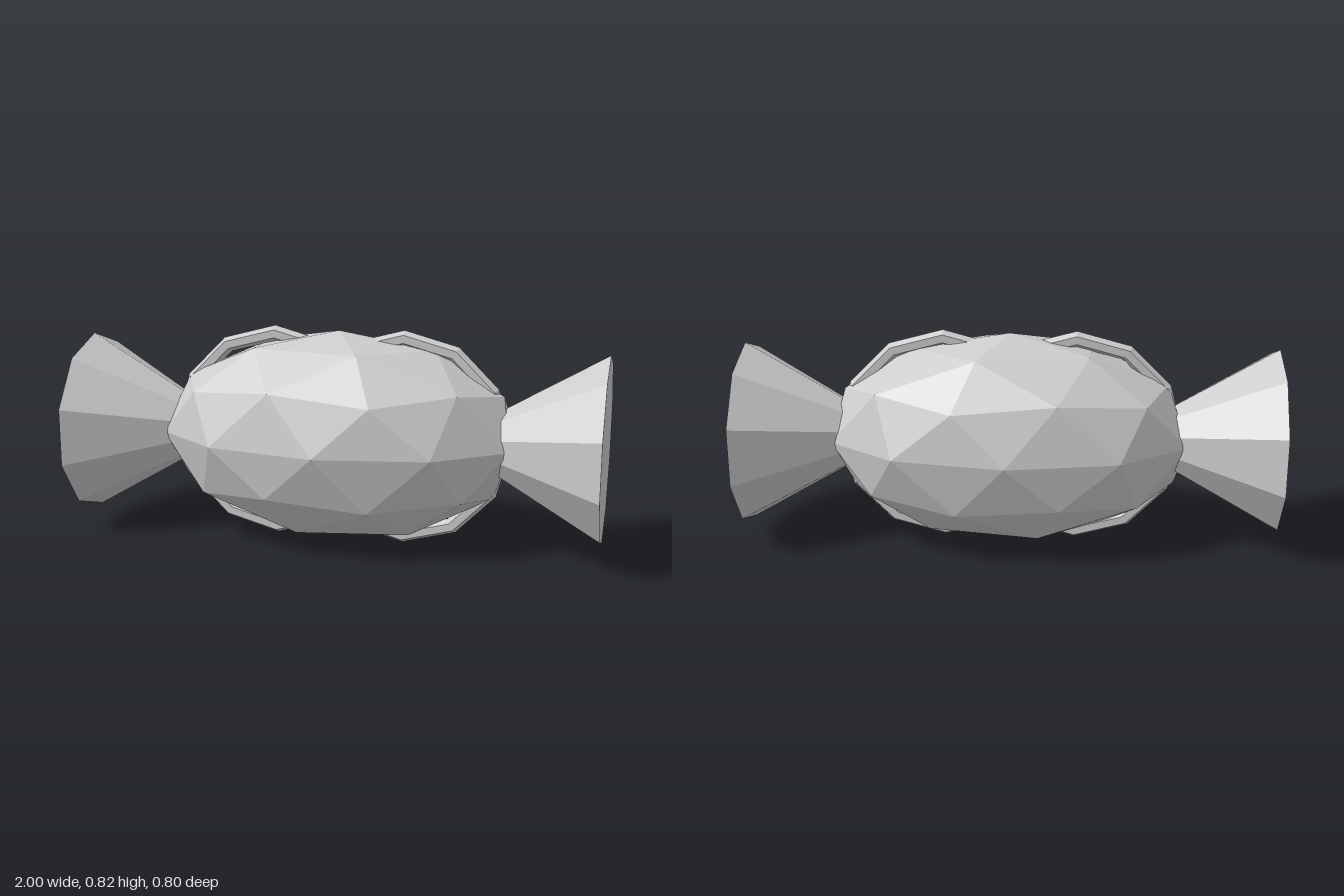
import * as THREE from 'three';

const CENTRE_Y = 0.41;

// Icosahedron with its poles on the y axis, split once into 80 facets
function facetedBall() {
  const verts = [0, 1, 0, 0, -1, 0];
  const faces = [];
  const ringY = 1 / Math.sqrt(5), ringR = 2 / Math.sqrt(5);
  for (const [start, y] of [[18, ringY], [54, -ringY]]) {
    for (let i = 0; i < 5; i++) {
      const a = THREE.MathUtils.degToRad(start + 72 * i);
      verts.push(ringR * Math.sin(a), y, ringR * Math.cos(a));
    }
  }
  for (let i = 0; i < 5; i++) {
    const j = (i + 1) % 5;
    const u0 = 2 + i, u1 = 2 + j, l0 = 7 + i, l1 = 7 + j;
    faces.push(0, u0, u1, u0, l0, u1, u1, l0, l1, 1, l1, l0);
  }
  return new THREE.PolyhedronGeometry(verts, faces, 1, 1);
}

export function createModel() {
  const model = new THREE.Group();
  model.name = 'wrappedCandy';

  const wrapper = new THREE.MeshStandardMaterial({ color: 0xcccccc, flatShading: true });
  wrapper.name = 'wrapperGrey';

  const add = (name, geometry, x) => {
    const mesh = new THREE.Mesh(geometry, wrapper);
    mesh.name = name;
    mesh.position.set(x, CENTRE_Y, 0);
    model.add(mesh);
  };

  // Stretched faceted body
  const body = facetedBall();
  body.scale(0.7, 0.4, 0.4);
  body.computeVertexNormals();
  add('candyBody', body, 0);

  for (const [side, label] of [[1, 'left'], [-1, 'right']]) {
    // Flared wrapper end, its point buried in the body
    const cone = new THREE.ConeGeometry(0.35, 0.6, 10);
    cone.rotateZ(side * Math.PI / 2);
    cone.rotateX(Math.PI / 2);
    add(label + 'WrapperEnd', cone, side * 0.7);

    // Upright seam ring, mostly sunk in the body
    add(label + 'SeamRing', new THREE.TorusGeometry(0.38, 0.03, 6, 12), side * 0.25);
  }
  return model;
}
